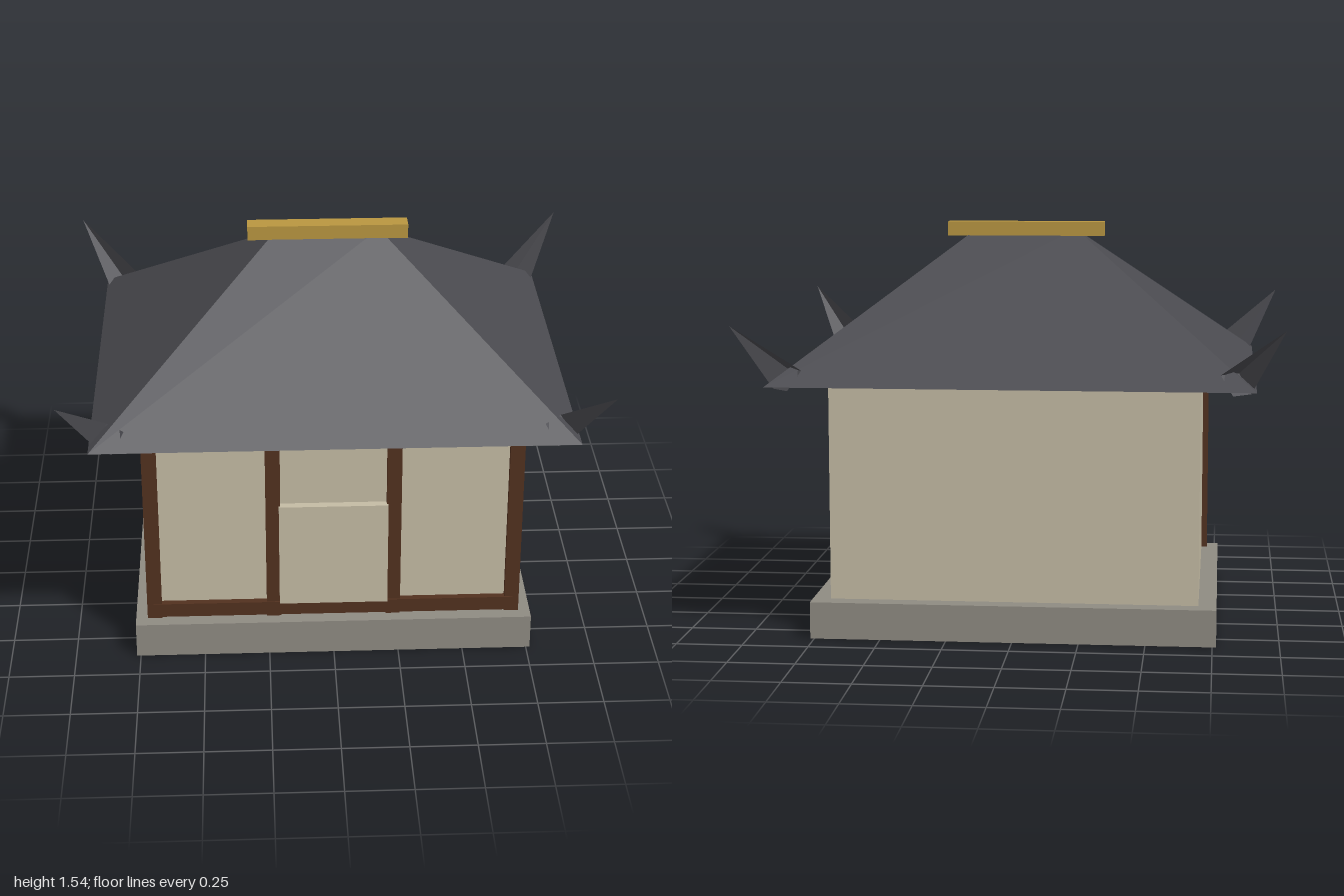
import * as THREE from 'three';

const material = (name, color) => {
  const m = new THREE.MeshStandardMaterial({ color });
  m.name = name;
  return m;
};

export function createModel() {
  const model = new THREE.Group();
  model.name = 'pavilion';

  const stone = material('stone grey', 0x8f8b82);
  const plaster = material('plaster cream', 0xc4bba4);
  const wood = material('dark wood', 0x52311f);
  const tile = material('slate tile', 0x4a4a4f);
  const gold = material('ridge gold', 0xb99640);
  tile.flatShading = true;

  const add = (name, geometry, mat) => {
    const mesh = new THREE.Mesh(geometry, mat);
    mesh.name = name;
    model.add(mesh);
    return mesh;
  };
  // Box given by its lower and upper bounds on each axis
  const box = (name, mat, [x0, x1], [y0, y1], [z0, z1]) => {
    const mesh = add(name, new THREE.BoxGeometry(x1 - x0, y1 - y0, z1 - z0), mat);
    mesh.position.set((x0 + x1) / 2, (y0 + y1) / 2, (z0 + z1) / 2);
    return mesh;
  };

  // Plinth and walls
  box('plinth', stone, [-0.765, 0.765], [0, 0.14], [-0.625, 0.625]);
  box('walls', plaster, [-0.697, 0.697], [0.14, 0.98], [-0.555, 0.555]);

  // Timber front: four posts, a sill and a door panel
  for (const x of [-0.692, -0.23, 0.23, 0.692]) {
    box('post', wood, [x - 0.028, x + 0.028], [0.14, 0.98], [0.55, 0.576]);
  }
  box('sill', wood, [-0.695, 0.695], [0.148, 0.205], [0.55, 0.581]);
  box('doorPanel', plaster, [-0.208, 0.208], [0.2, 0.63], [0.55, 0.586]);

  // Hipped roof: a box whose top face is pinched into a ridge line
  const roof = new THREE.BoxGeometry(2, 1, 2);
  const p = roof.attributes.position;
  for (let i = 0; i < p.count; i++) {
    const top = p.getY(i) > 0;
    p.setXYZ(i, p.getX(i) * (top ? 0.197 : 0.9), top ? 1.515 : 0.975, p.getZ(i) * (top ? 0.001 : 0.765));
  }
  roof.computeVertexNormals();
  add('roof', roof, tile);

  // Ridge beam
  box('ridgeBeam', gold, [-0.307, 0.307], [1.49, 1.545], [-0.035, 0.035]);

  // Upturned four-sided spikes at the eave corners
  for (const sx of [-1, 1]) {
    for (const sz of [-1, 1]) {
      const base = new THREE.Vector3(0.825 * sx, 0.995, 0.69 * sz);
      const tip = new THREE.Vector3(sx, 1.21, 0.86 * sz);
      const axis = tip.clone().sub(base);
      const length = axis.length();
      axis.normalize();
      const side = new THREE.Vector3(axis.z, 0, -axis.x).normalize();
      const up = new THREE.Vector3().crossVectors(side, axis);
      const spike = new THREE.ConeGeometry(0.067, length, 4);
      spike.rotateY(Math.PI / 4);
      spike.translate(0, length / 2, 0);
      spike.applyMatrix4(new THREE.Matrix4().makeBasis(side, axis, up.negate()));
      add('eaveSpike', spike, tile).position.copy(base);
    }
  }

  return model;
}
